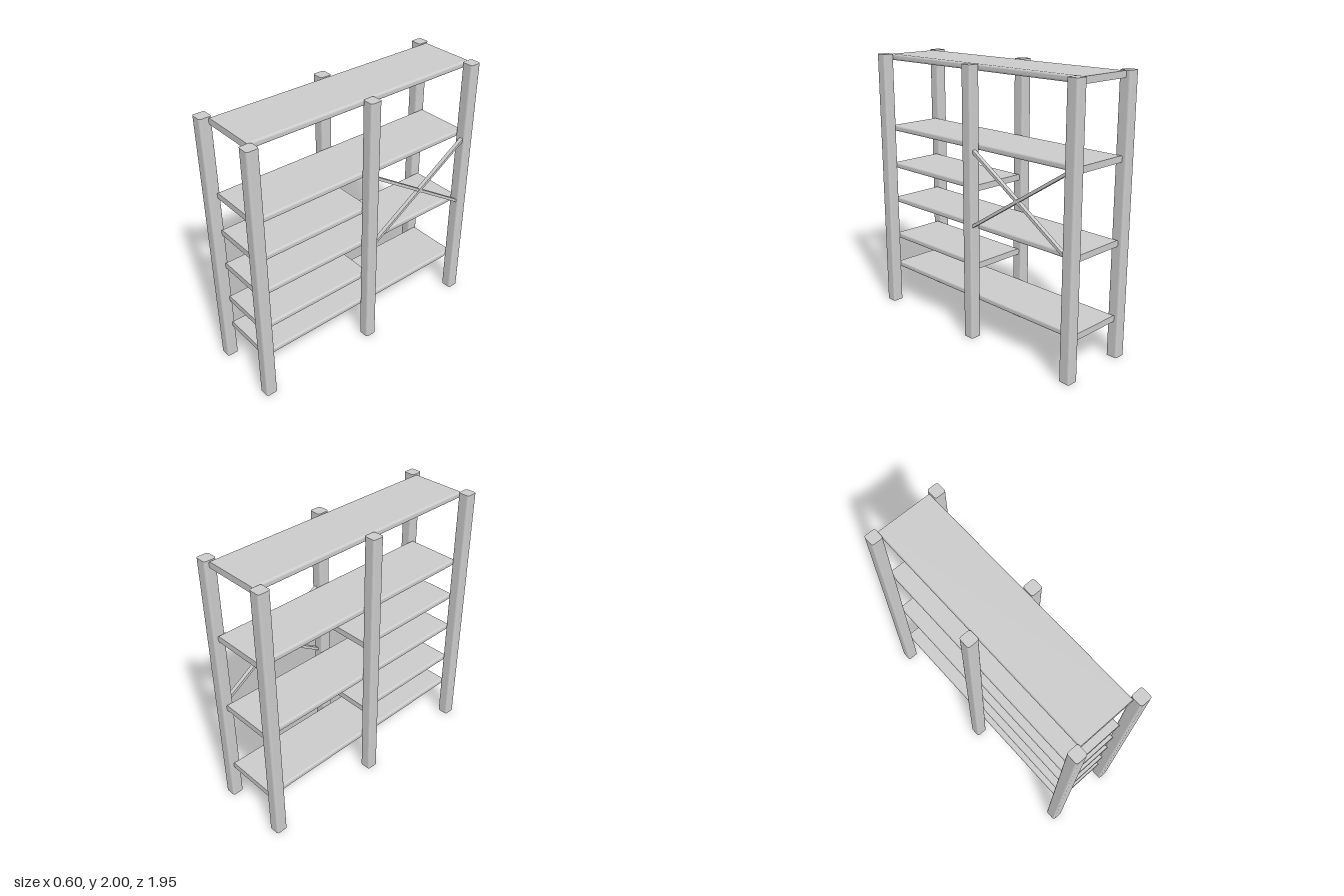
import * as THREE from 'three';

const material = new THREE.MeshStandardMaterial({ color: 0xcccccc, flatShading: true });

// Bar of the given length along z, with a rounded rectangular section in xy
function roundedBar(width, height, length, radius) {
  const w = width / 2, h = height / 2, r = radius;
  const s = new THREE.Shape();
  s.moveTo(-w + r, -h);
  s.lineTo(w - r, -h);
  s.absarc(w - r, -h + r, r, -Math.PI / 2, 0, false);
  s.lineTo(w, h - r);
  s.absarc(w - r, h - r, r, 0, Math.PI / 2, false);
  s.lineTo(-w + r, h);
  s.absarc(-w + r, h - r, r, Math.PI / 2, Math.PI, false);
  s.lineTo(-w, -h + r);
  s.absarc(-w + r, -h + r, r, Math.PI, Math.PI * 1.5, false);
  const geometry = new THREE.ExtrudeGeometry(s, { depth: length, bevelEnabled: false, curveSegments: 3 });
  return geometry.translate(0, 0, -length / 2);
}

export function createModel() {
  const group = new THREE.Group();
  const add = (name, geometry, x, y, z) => {
    const mesh = new THREE.Mesh(geometry, material);
    mesh.name = name;
    mesh.position.set(x, y, z);
    group.add(mesh);
    return mesh;
  };

  // Six upright posts in two rows
  const postGeometry = roundedBar(0.088, 0.088, 2, 0.016).rotateX(-Math.PI / 2);
  for (const x of [-0.257, 0.257]) {
    for (const z of [0.93, -0.008, -0.93]) add('post', postGeometry, x, 1, z);
  }

  // Full-length shelves
  const zFront = 0.91;
  const addShelves = (name, heights, zBack) => {
    const geometry = roundedBar(0.425, 0.046, zFront - zBack, 0.015);
    for (const y of heights) add(name, geometry, 0, y, (zFront + zBack) / 2);
  };
  addShelves('longShelf', [0.3, 0.85, 1.43, 1.975], -0.943);

  // Extra shelves in the front bay only
  addShelves('shortShelf', [0.547, 1.133], -0.03);

  // Crossed braces on the left side of the rear bay
  const angle = Math.atan2(0.54, 0.84);
  const braceGeometry = new THREE.BoxGeometry(0.03, 0.021, 1.03);
  for (const side of [-1, 1]) {
    const brace = add('crossBrace', braceGeometry, 0.268 + side * 0.002, 1.14, -0.468);
    brace.rotation.x = side * angle;
  }

  return group;
}
